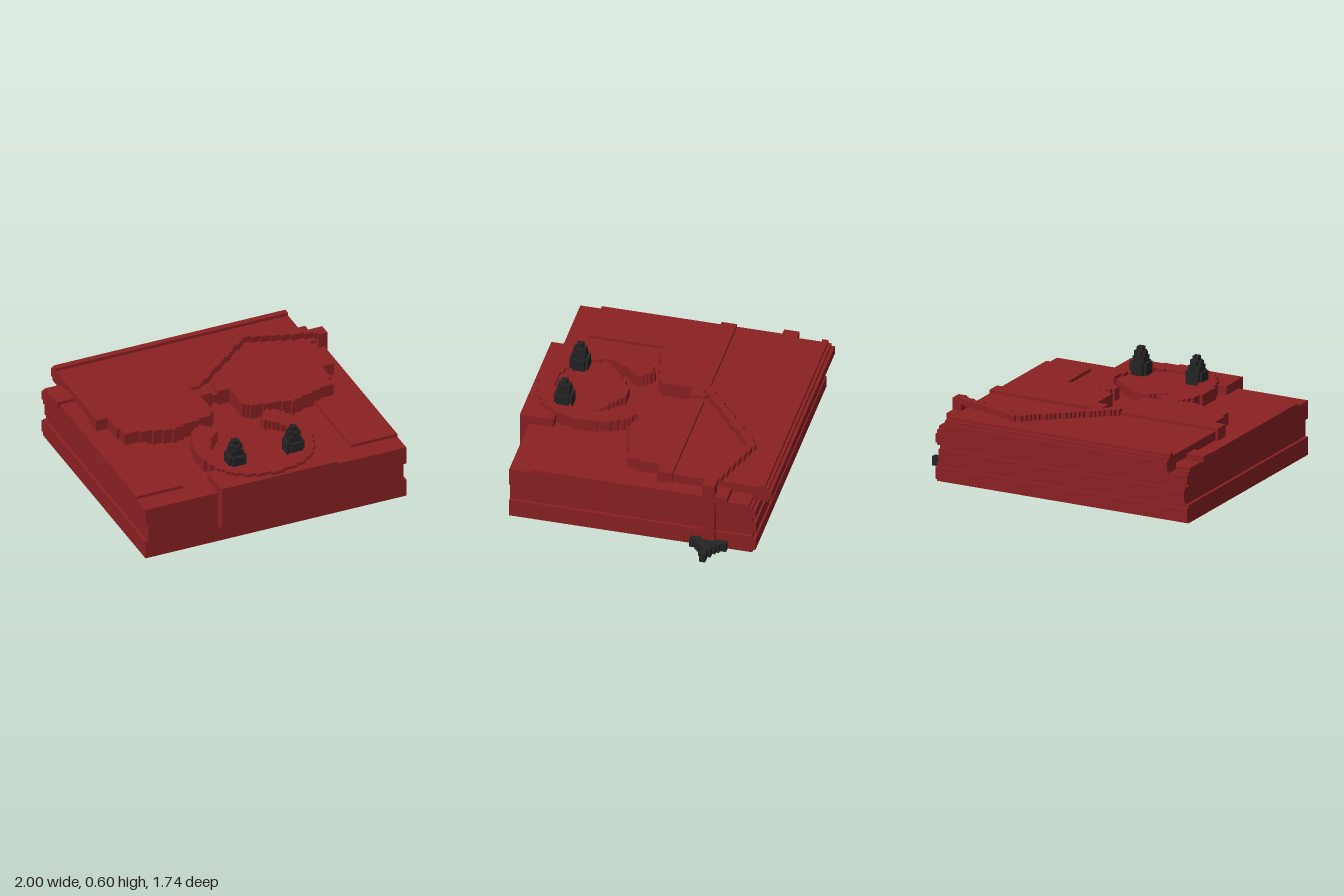
import * as THREE from 'three';
import { mergeGeometries } from 'three/addons/utils/BufferGeometryUtils.js';

const V = 0.02;    // size of one block
const CX = -0.08;  // middle of the symmetric body

const red = new THREE.MeshStandardMaterial({ color: 0x8b2022 });
red.name = 'deep red';
const black = new THREE.MeshStandardMaterial({ color: 0x232323 });
black.name = 'black';

// Box geometry from its limits
function block(x0, x1, y0, y1, z0, z1) {
  return new THREE.BoxGeometry(x1 - x0, y1 - y0, z1 - z0)
    .translate((x0 + x1) / 2, (y0 + y1) / 2, (z0 + z1) / 2);
}

// Stepped slab: rows of blocks wherever inside(x, z) holds
function slab(inside, y0, y1) {
  const parts = [];
  for (let j = 0; j < 88; j++) {
    const z0 = -0.87 + j * V;
    let start = -1;
    for (let i = 0; i <= 100; i++) {
      const filled = i < 100 && inside(-1 + (i + 0.5) * V, z0 + V / 2);
      if (filled && start < 0) start = i;
      if (!filled && start >= 0) {
        parts.push(block(-1 + start * V, -1 + i * V, y0, y1, z0, z0 + V));
        start = -1;
      }
    }
  }
  return mergeGeometries(parts);
}

// Point-in-polygon test
function polygon(pts) {
  return (x, z) => {
    let hit = false;
    pts.forEach(([ax, az], i) => {
      const [bx, bz] = pts[(i + 1) % pts.length];
      if ((az > z) !== (bz > z) && x < ax + (z - az) / (bz - az) * (bx - ax)) hit = !hit;
    });
    return hit;
  };
}

// Half outline mirrored about the middle of the body
function mirrored(pts) {
  const test = polygon(pts);
  return (x, z) => test(Math.abs(x - CX), z);
}

const disc = (cx, cz, r) => (x, z) => Math.hypot(x - cx, z - cz) < r;

// Band of given half width along a polyline
function band(pts, r) {
  return (x, z) => pts.slice(1).some(([bx, bz], i) => {
    const [ax, az] = pts[i];
    const dx = bx - ax, dz = bz - az;
    const t = Math.min(1, Math.max(0, ((x - ax) * dx + (z - az) * dz) / (dx * dx + dz * dz)));
    return Math.hypot(x - ax - t * dx, z - az - t * dz) < r;
  });
}

export function createModel() {
  const model = new THREE.Group();
  model.name = 'hornedBox';
  const add = (name, material, ...geometries) => {
    const mesh = new THREE.Mesh(mergeGeometries(geometries), material);
    mesh.name = name;
    model.add(mesh);
  };

  // Three stacked body layers with rounded backs; the middle one is narrower
  for (let i = 0; i < 3; i++) {
    const y = i * 0.12, w = i === 1 ? 0.88 : 0.9;
    const rows = i === 2
      ? [[0, 0.02, -0.77], [0.02, 0.08, -0.79], [0.08, 0.10, -0.77], [0.10, 0.12, -0.75]]
      : [[0, 0.02, -0.77], [0.02, 0.10, -0.79], [0.10, 0.12, -0.77]];
    add('bodyLayer' + (i + 1), red,
      ...rows.map(([a, b, z]) => block(CX - w, CX + w, y + a, y + b, z, 0.81)));
  }

  // Raised side plates
  add('sidePlates', red,
    block(CX - 0.9, CX - 0.58, 0.36, 0.38, -0.61, 0.67),
    block(CX + 0.58, CX + 0.9, 0.36, 0.38, -0.61, 0.67));

  // Hinge axle
  add('axle', red, block(CX - 0.92, CX + 0.92, 0.36, 0.40, -0.61, -0.51));

  // Back cover with a rolled rear edge
  add('backCover', red, block(CX - 0.8, CX + 0.8, 0.38, 0.44, -0.77, -0.13));
  add('coverRoll', red,
    block(CX - 0.8, CX + 0.8, 0.34, 0.44, -0.85, -0.75),
    block(CX - 0.8, CX + 0.8, 0.44, 0.46, -0.83, -0.79),
    block(CX - 0.8, CX + 0.8, 0.36, 0.42, -0.87, -0.85));

  // Pair of wings with scalloped front edges
  add('wings', red, slab(mirrored([
    [0.02, -0.23], [0.82, -0.23], [0.82, -0.13], [0.74, -0.13], [0.74, 0], [0.72, 0],
    [0.72, 0.08], [0.64, 0.09], [0.52, 0.13], [0.41, 0.165], [0.34, 0.14], [0.24, 0.125],
    [0.16, 0.11], [0.10, 0.07], [0.10, -0.13], [0.02, -0.13],
  ]), 0.36, 0.46));

  // Front panel, the domed floor behind it and the crescent rim around that
  add('frontPanel', red, block(CX - 0.4, CX + 0.4, 0.12, 0.42, 0.65, 0.87));
  add('domeFloor', red, slab(mirrored([
    [-0.01, 0.26], [0.06, 0.28], [0.16, 0.35], [0.28, 0.45], [0.29, 0.6], [0.2, 0.75], [-0.01, 0.8],
  ]), 0.36, 0.42));
  add('crescentRim', red, slab(mirrored([
    [0.23, 0.15], [0.31, 0.21], [0.36, 0.32], [0.38, 0.42], [0.38, 0.52], [0.34, 0.65],
    [0.28, 0.74], [0.18, 0.81], [0.06, 0.835], [-0.01, 0.85], [-0.01, 0.73], [0.06, 0.73],
    [0.14, 0.70], [0.22, 0.63], [0.26, 0.55], [0.28, 0.45], [0.26, 0.38], [0.22, 0.31],
    [0.17, 0.27], [0.16, 0.22],
  ]), 0.36, 0.44));

  // Two stepped horns
  [['rightHorn', -0.28], ['leftHorn', 0.12]].forEach(([name, x]) => add(name, black,
    ...[[0.42, 0.50, 0.062], [0.50, 0.54, 0.045], [0.54, 0.57, 0.032], [0.57, 0.60, 0.018]]
      .map(([a, b, r]) => slab(disc(x, 0.63, r), a, b))));

  // Tail lying on the cover, dropping down the side to a spade tip
  add('tail', red,
    slab(band([[-0.17, -0.23], [0.33, -0.64], [0.81, -0.49]], 0.026), 0.44, 0.48),
    block(0.78, 0.84, 0, 0.48, -0.53, -0.45));
  add('tailTip', black, slab(polygon([
    [0.82, -0.61], [0.85, -0.61], [0.88, -0.565], [0.92, -0.53], [1, -0.502],
    [1, -0.478], [0.92, -0.45], [0.88, -0.415], [0.85, -0.37], [0.82, -0.37],
  ]), 0, 0.06));

  return model;
}
